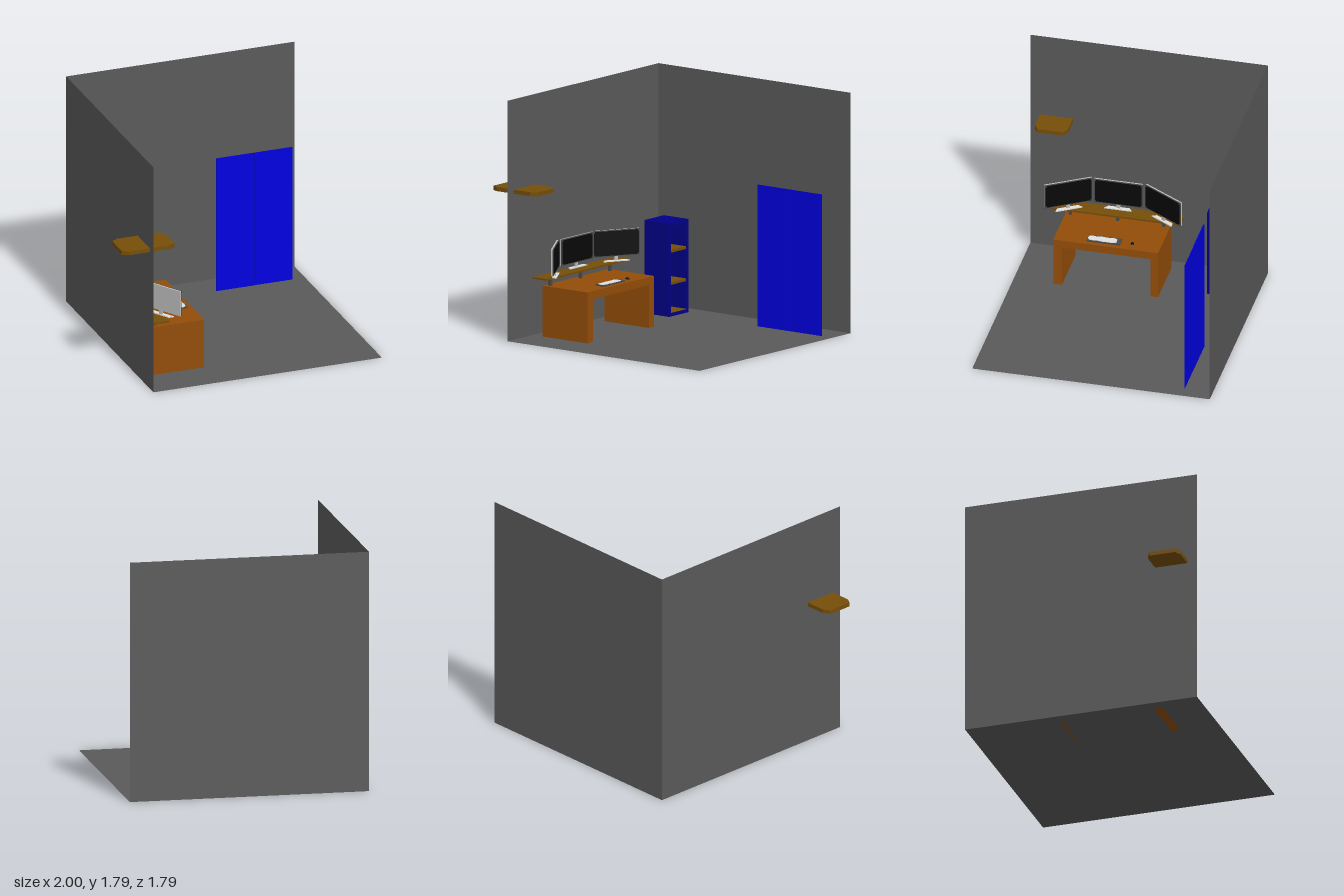
import * as THREE from 'three';

const mat = (name, color, side = THREE.FrontSide) => {
  const m = new THREE.MeshStandardMaterial({ color, side });
  m.name = name;
  return m;
};

export function createModel() {
  const wallGrey = mat('wall grey', 0x5a5a5a, THREE.DoubleSide);
  const deskWood = mat('orange wood', 0x934d08);
  const shelfWood = mat('olive wood', 0x764e08);
  const navy = mat('navy', 0x000086);
  const blue = mat('blue', 0x0000e0);
  const silver = mat('silver', 0xbcbcbc);
  const darkGrey = mat('dark grey', 0x4a4a4a);
  const black = mat('black', 0x080808);
  const white = mat('white', 0xe0e0e0);

  const room = new THREE.Group();
  room.name = 'room';

  const group = (name, parent = room) => {
    const g = new THREE.Group();
    g.name = name;
    parent.add(g);
    return g;
  };
  const add = (parent, name, geometry, material) => {
    const m = new THREE.Mesh(geometry, material);
    m.name = name;
    parent.add(m);
    return m;
  };
  // Box given by its extents on each axis
  const box = (parent, name, material, [x0, x1], [y0, y1], [z0, z1]) => {
    const m = add(parent, name, new THREE.BoxGeometry(x1 - x0, y1 - y0, z1 - z0), material);
    m.position.set((x0 + x1) / 2, (y0 + y1) / 2, (z0 + z1) / 2);
    return m;
  };
  // Horizontal slab from an outline of [x, z] points
  const slab = (parent, name, material, points, y, height) => {
    const shape = new THREE.Shape(points.map(([x, z]) => new THREE.Vector2(x, -z)));
    const g = new THREE.ExtrudeGeometry(shape, { depth: height, bevelEnabled: false });
    g.rotateX(-Math.PI / 2);
    const m = add(parent, name, g, material);
    m.position.y = y;
    return m;
  };

  // Floor and two walls
  const floor = add(room, 'floor', new THREE.PlaneGeometry(1.79, 1.79), wallGrey);
  floor.rotation.x = -Math.PI / 2;
  floor.position.set(0.105, 0, 0);
  const backWall = add(room, 'backWall', new THREE.PlaneGeometry(1.79, 1.795), wallGrey);
  backWall.position.set(0.105, 0.8975, -0.895);
  const leftWall = add(room, 'sideWall', new THREE.PlaneGeometry(1.79, 1.795), wallGrey);
  leftWall.rotation.y = Math.PI / 2;
  leftWall.position.set(-0.79, 0.8975, 0);

  // Wall shelf with cut corners, passing through the side wall
  slab(room, 'wallShelf', shelfWood, [
    [-0.95, 0.572], [-0.635, 0.572], [-0.587, 0.6], [-0.587, 0.795],
    [-0.635, 0.822], [-0.95, 0.822], [-1, 0.795], [-1, 0.6],
  ], 1.09, 0.03);

  // Desk
  const desk = group('desk');
  box(desk, 'deskTop', deskWood, [-0.697, -0.28], [0.32, 0.38], [-0.192, 0.597]);
  box(desk, 'deskLeg', deskWood, [-0.697, -0.28], [0, 0.32], [-0.192, -0.135]);
  box(desk, 'deskLeg', deskWood, [-0.697, -0.28], [0, 0.32], [0.532, 0.597]);

  // Raised monitor board on posts
  const riser = group('riser');
  box(riser, 'riserBoard', shelfWood, [-0.715, -0.587], [0.443, 0.457], [-0.285, 0.69]);
  for (const z of [-0.145, 0.203, 0.56])
    box(riser, 'riserPost', darkGrey, [-0.665, -0.643], [0.38, 0.443], [z - 0.01, z + 0.01]);

  // Three monitors, the outer two turned inward
  const addMonitor = (x, z, turn) => {
    const m = group('monitor');
    m.position.set(x, 0, z);
    m.rotation.y = turn;
    const h = 0.183;
    box(m, 'monitorBack', silver, [-0.009, 0.003], [0.495, 0.692], [-h, h]);
    box(m, 'monitorBezel', darkGrey, [0.003, 0.009], [0.495, 0.692], [-h, h]);
    box(m, 'screen', black, [0.009, 0.011], [0.502, 0.685], [-h + 0.007, h - 0.007]);
    for (const cy of [0.503, 0.684])
      for (const cz of [-h + 0.008, h - 0.008])
        box(m, 'corner', darkGrey, [0.009, 0.012], [cy - 0.008, cy + 0.008], [cz - 0.008, cz + 0.008]);
    box(m, 'monitorNeck', silver, [-0.008, 0.006], [0.46, 0.51], [-0.014, 0.014]);
    slab(m, 'monitorFoot', white, [
      [-0.012, -0.08], [0.021, -0.103], [0.021, 0.103], [-0.012, 0.08],
    ], 0.457, 0.008);
  };
  addMonitor(-0.69, 0.205, 0);
  addMonitor(-0.605, 0.565, 0.55);
  addMonitor(-0.605, -0.155, -0.55);

  // Keyboard and mouse
  const keyboard = group('keyboard');
  box(keyboard, 'keyboardBase', darkGrey, [-0.395, -0.315], [0.38, 0.39], [0.105, 0.355]);
  slab(keyboard, 'keys', white, [
    [-0.373, 0.135], [-0.328, 0.135], [-0.321, 0.16], [-0.321, 0.25], [-0.327, 0.275],
    [-0.321, 0.3], [-0.327, 0.34], [-0.345, 0.352], [-0.375, 0.347], [-0.384, 0.325],
    [-0.377, 0.29], [-0.384, 0.255], [-0.379, 0.2], [-0.384, 0.16],
  ], 0.39, 0.004);
  const mouse = add(room, 'mouse', new THREE.SphereGeometry(1, 16, 10), black);
  mouse.scale.set(0.018, 0.008, 0.012);
  mouse.position.set(-0.357, 0.384, 0.02);

  // Open bookcase facing the middle of the room
  const bookcase = group('bookcase');
  const bx = [-0.635, -0.405];
  box(bookcase, 'side', navy, bx, [0.005, 0.7], [-0.762, -0.737]);
  box(bookcase, 'side', navy, bx, [0.005, 0.7], [-0.553, -0.53]);
  box(bookcase, 'top', navy, bx, [0.677, 0.7], [-0.737, -0.553]);
  box(bookcase, 'bottom', navy, bx, [0.005, 0.03], [-0.737, -0.553]);
  box(bookcase, 'back', navy, [-0.635, -0.615], [0.03, 0.677], [-0.737, -0.553]);
  box(bookcase, 'bottomLining', shelfWood, [-0.615, -0.408], [0.03, 0.033], [-0.737, -0.553]);
  for (const y of [0.25, 0.49])
    box(bookcase, 'shelf', shelfWood, [-0.615, -0.408], [y - 0.01, y + 0.01], [-0.737, -0.553]);

  // Double door
  const doors = group('doors');
  box(doors, 'doorLeaf', blue, [0.305, 0.601], [0, 1.057], [-0.684, -0.677]);
  box(doors, 'doorLeaf', blue, [0.606, 0.9], [0, 1.057], [-0.683, -0.679]);

  return room;
}
